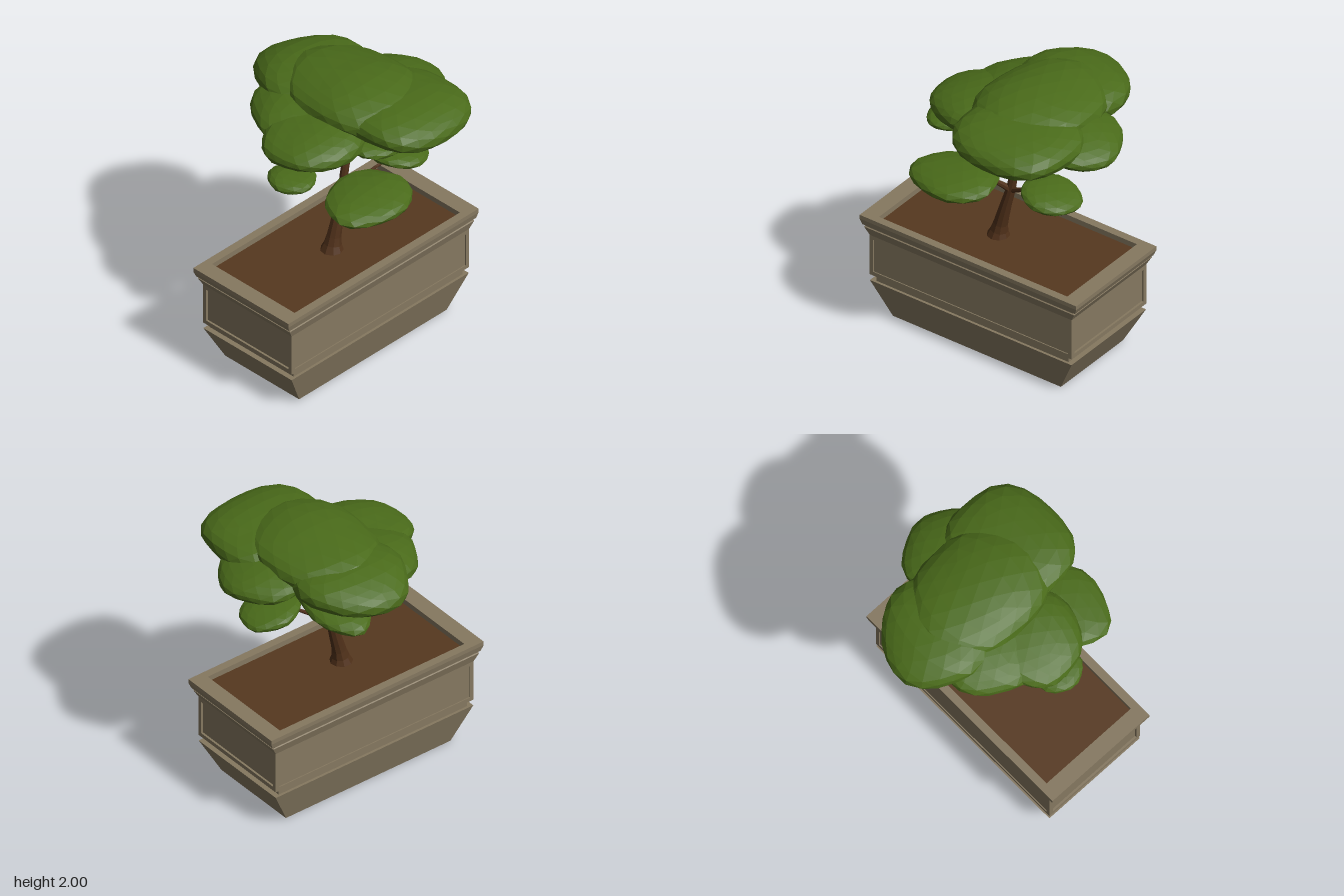
import * as THREE from 'three';

const mat = (color) => new THREE.MeshStandardMaterial({ color, flatShading: true });
const stone = mat(0x857860), soilMat = mat(0x56381f), bark = mat(0x4f3019), leaf = mat(0x4a6b1a);
const RATIO = 0.493; // depth of the pot relative to its width

function add(parent, name, geometry, material) {
  const mesh = new THREE.Mesh(geometry, material);
  mesh.name = name;
  parent.add(mesh);
  return mesh;
}

// Four-sided lathe: half-widths along x, squashed in z
function rectLathe(profile) {
  const pts = profile.map(([hx, y]) => new THREE.Vector2(hx * Math.SQRT2, y));
  return new THREE.LatheGeometry(pts, 4, Math.PI / 4).scale(1, 1, RATIO);
}

// Raised border around a recessed panel
function frameGeometry(w, h, border, depth) {
  const rect = (T, a, b) => new T([[-a, -b], [a, -b], [a, b], [-a, b]].map((p) => new THREE.Vector2(...p)));
  const shape = rect(THREE.Shape, w / 2, h / 2);
  shape.holes.push(rect(THREE.Path, w / 2 - border, h / 2 - border));
  return new THREE.ExtrudeGeometry(shape, { depth, bevelEnabled: false });
}

// Tapered tube; each point is [x, y, z, radius]
function limb(points, sides = 7) {
  const curve = new THREE.CatmullRomCurve3(points.map((p) => new THREE.Vector3(p[0], p[1], p[2])));
  const last = points.length - 1, n = last * 3;
  const geo = new THREE.TubeGeometry(curve, n, 1, sides);
  const pos = geo.attributes.position, v = new THREE.Vector3();
  for (let i = 0; i <= n; i++) {
    const c = curve.getPointAt(i / n);
    const t = curve.getUtoTmapping(i / n) * last;
    const k = Math.min(Math.floor(t), last - 1);
    const r = THREE.MathUtils.lerp(points[k][3], points[k + 1][3], t - k);
    for (let j = 0; j <= sides; j++) {
      const id = i * (sides + 1) + j;
      v.fromBufferAttribute(pos, id).sub(c).multiplyScalar(r).add(c);
      pos.setXYZ(id, v.x, v.y, v.z);
    }
  }
  return geo;
}

// Uneven flattened ball of leaves
function foliage([x, y, z], [rx, ry, rz], [tx, tz], detail, seed) {
  const geo = new THREE.IcosahedronGeometry(1, detail);
  const pos = geo.attributes.position, v = new THREE.Vector3();
  for (let i = 0; i < pos.count; i++) {
    v.fromBufferAttribute(pos, i);
    const bump = 1 + 0.035 * Math.sin(v.x * 4 + seed) + 0.035 * Math.sin(v.z * 5 + v.y * 2 + seed * 2.3);
    const lift = Math.sign(v.y) * Math.pow(Math.abs(v.y), 0.85);
    pos.setXYZ(i, v.x * bump * rx, lift * bump * ry, v.z * bump * rz);
  }
  geo.rotateX(tx).rotateZ(tz).translate(x, y, z);
  geo.computeVertexNormals();
  return geo;
}

export function createModel() {
  const model = new THREE.Group();
  model.name = 'pottedTree';

  // Pot: foot, neck, body, flared rim and inner wall
  const pot = new THREE.Group();
  pot.name = 'pot';
  pot.position.set(-0.005, 0, 0.047);
  model.add(pot);
  add(pot, 'potShell', rectLathe([
    [0, 0], [0.69, 0], [0.828, 0.265], [0.79, 0.265], [0.79, 0.312], [0.815, 0.312],
    [0.815, 0.625], [0.83, 0.625], [0.863, 0.685], [0.85, 0.69], [0.85, 0.703], [0.873, 0.703],
    [0.89, 0.745], [0.89, 0.775], [0.773, 0.775], [0.773, 0.72],
  ]), stone);
  add(pot, 'soil', new THREE.PlaneGeometry(1.546, 1.546 * RATIO).rotateX(-Math.PI / 2).translate(0, 0.735, 0), soilMat);

  // Panel borders on all four sides
  const hx = 0.83, hz = hx * RATIO;
  for (let i = 0; i < 4; i++) {
    const [half, out, inner] = i % 2 ? [hz, hx, 0.815] : [hx, hz, 0.815 * RATIO];
    const frame = add(pot, 'panelFrame', frameGeometry(half * 2, 0.313, 0.03, out - inner + 0.005), stone);
    frame.rotation.y = i * Math.PI / 2;
    frame.position.set(0, 0.4685, 0);
    frame.translateZ(inner - 0.005);
  }

  // Trunk and branches
  const wood = new THREE.Group();
  wood.name = 'wood';
  model.add(wood);
  add(wood, 'trunk', limb([
    [-0.065, 0.72, 0.07, 0.085], [-0.055, 0.8, 0.07, 0.052], [-0.01, 0.98, 0.07, 0.04],
    [0.035, 1.15, 0.065, 0.032], [0.07, 1.35, 0.06, 0.028], [0.15, 1.52, 0.055, 0.026], [0.25, 1.7, 0.05, 0.024],
  ], 9), bark);
  [
    [[0.03, 1.13, 0.07, 0.024], [-0.02, 1.22, 0.16, 0.016], [-0.1, 1.34, 0.36, 0.01]],
    [[0.03, 1.12, 0.065, 0.02], [0.18, 1.21, 0.11, 0.014], [0.29, 1.275, 0.15, 0.01], [0.42, 1.29, 0.17, 0.008]],
    [[0.09, 1.4, 0.06, 0.02], [-0.1, 1.48, 0.07, 0.014], [-0.23, 1.54, 0.08, 0.011], [-0.4, 1.52, 0.08, 0.008]],
    [[-0.22, 1.535, 0.08, 0.01], [-0.245, 1.6, 0.07, 0.009], [-0.25, 1.7, 0.06, 0.007]],
    [[0.09, 1.4, 0.06, 0.02], [0.15, 1.46, 0.11, 0.014], [0.21, 1.53, 0.17, 0.009]],
    [[0.08, 1.37, 0.06, 0.022], [0.15, 1.4, -0.05, 0.015], [0.23, 1.49, -0.24, 0.01]],
    [[0.15, 1.51, 0.06, 0.02], [0.19, 1.57, -0.16, 0.014], [0.22, 1.72, -0.42, 0.01]],
    [[0.22, 1.63, 0.05, 0.02], [0.38, 1.68, 0.06, 0.014], [0.55, 1.75, 0.07, 0.01]],
    [[0.22, 1.62, 0.05, 0.02], [0.27, 1.67, 0.18, 0.014], [0.34, 1.76, 0.35, 0.01]],
  ].forEach((path) => add(wood, 'branch', limb(path), bark));

  // Leaf pads on the lower branches: centre, radii, tilt about x and z
  [
    [[-0.125, 1.382, 0.465], [0.315, 0.068, 0.265], [0.04, 0.03]],
    [[0.448, 1.315, 0.175], [0.218, 0.055, 0.195], [0, -0.17]],
    [[-0.448, 1.522, 0.08], [0.163, 0.05, 0.17], [0, 0]],
    [[0.215, 1.535, 0.17], [0.21, 0.055, 0.22], [0.02, -0.1]],
    [[0.24, 1.505, -0.24], [0.2, 0.063, 0.335], [-0.13, -0.05]],
  ].forEach((p, i) => add(model, 'leafPad', foliage(...p, 2, i * 1.7), leaf));

  // Crown: overlapping lobes
  [
    [[0.22, 1.835, 0.0], [0.42, 0.16, 0.5], [0, 0]],
    [[0.21, 1.8, -0.37], [0.385, 0.135, 0.41], [-0.06, 0]],
    [[0.32, 1.82, 0.37], [0.42, 0.13, 0.395], [0.03, -0.04]],
    [[0.55, 1.775, 0.07], [0.34, 0.09, 0.33], [0, -0.2]],
    [[-0.22, 1.725, 0.05], [0.355, 0.11, 0.33], [0, 0.08]],
    [[-0.07, 1.755, -0.2], [0.36, 0.105, 0.34], [0, 0.12]],
  ].forEach((p, i) => add(model, 'crownLobe', foliage(...p, 3, 2 + i * 1.3), leaf));

  return model;
}
